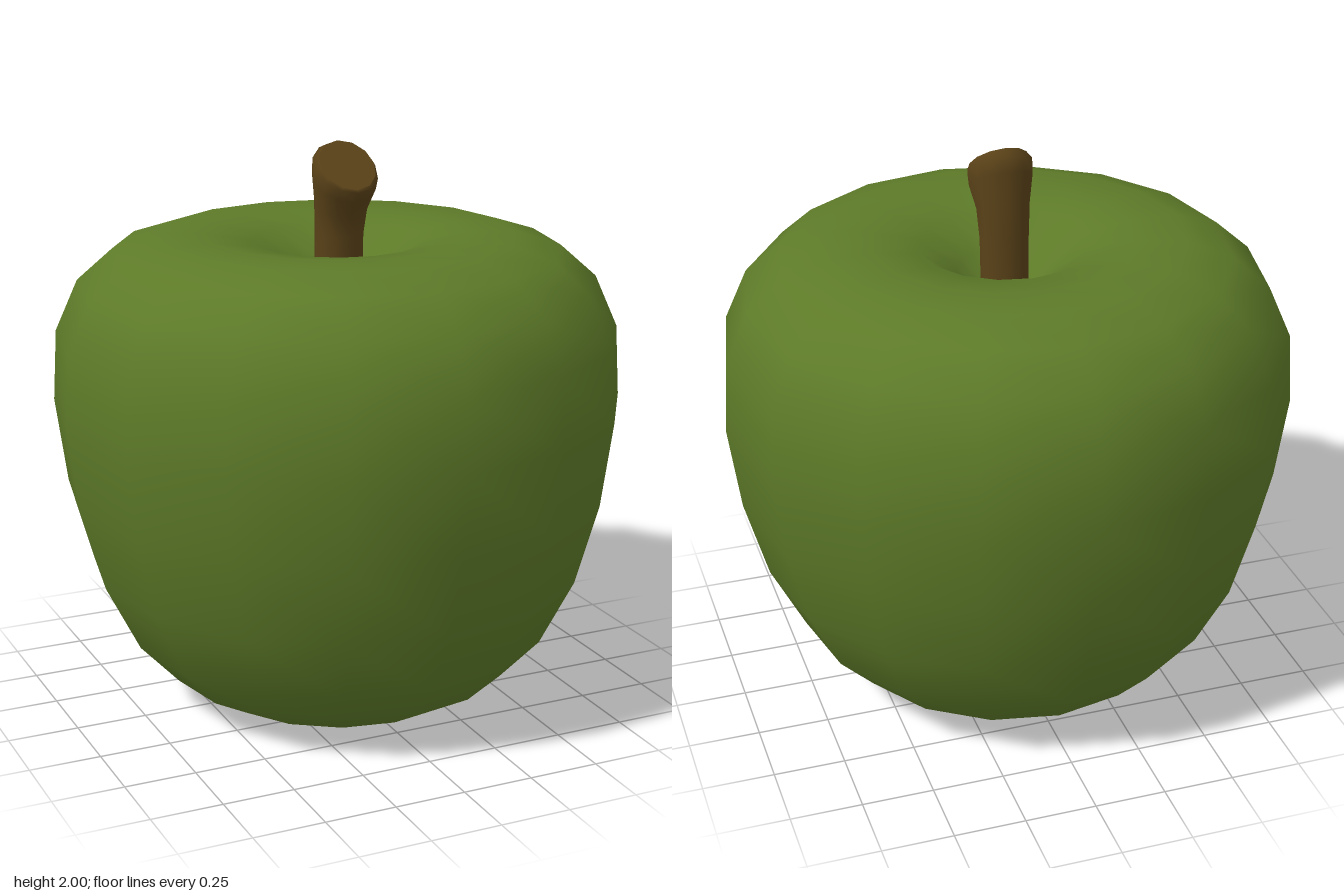
import * as THREE from 'three';

const SIDES = 12;

// One stem section: an ellipse running from its back point to its front point
function ring([backZ, backY, frontZ, frontY, halfWidth]) {
  const points = [];
  for (let j = 0; j < SIDES; j++) {
    const a = (j / SIDES) * Math.PI * 2;
    const t = (1 + Math.cos(a)) / 2;
    points.push(
      Math.sin(a) * halfWidth,
      THREE.MathUtils.lerp(backY, frontY, t),
      THREE.MathUtils.lerp(backZ, frontZ, t)
    );
  }
  return points;
}

function surface(positions, indices) {
  const geometry = new THREE.BufferGeometry();
  geometry.setAttribute('position', new THREE.Float32BufferAttribute(positions, 3));
  geometry.setIndex(indices);
  geometry.computeVertexNormals();
  return geometry;
}

export function createModel() {
  const model = new THREE.Group();
  const add = (name, geometry, material, parent = model) => {
    const mesh = new THREE.Mesh(geometry, material);
    mesh.name = name;
    parent.add(mesh);
  };
  const skin = new THREE.MeshStandardMaterial({ color: 0x5d7a28 });
  const bark = new THREE.MeshStandardMaterial({ color: 0x5a4218 });

  // Fruit: radius and height, from the lower dimple to the upper one
  const profile = [
    [0, 0.12], [0.04, 0.09], [0.1, 0.03], [0.21, 0.01], [0.34, 0], [0.48, 0.03],
    [0.62, 0.11], [0.76, 0.26], [0.88, 0.5], [0.96, 0.79], [1, 1.09], [0.985, 1.34],
    [0.905, 1.52], [0.78, 1.63], [0.625, 1.68], [0.46, 1.68], [0.3, 1.655],
    [0.17, 1.56], [0.08, 1.46], [0, 1.42],
  ].map(([r, y]) => new THREE.Vector2(r, y));
  add('fruit', new THREE.LatheGeometry(profile, 16), skin);

  // Stem: sections lean forward and flare into a slanted cut
  const stem = new THREE.Group();
  stem.name = 'stem';
  model.add(stem);
  const sections = [
    [-0.065, 1.38, 0.075, 1.38, 0.085],
    [-0.058, 1.68, 0.085, 1.68, 0.088],
    [-0.052, 1.82, 0.105, 1.75, 0.095],
    [-0.045, 1.93, 0.15, 1.81, 0.113],
    [-0.042, 1.985, 0.172, 1.845, 0.113],
    [0, 2, 0.165, 1.855, 0.1],
  ].map(ring);
  const sides = [];
  for (let i = 0; i < sections.length - 1; i++) {
    for (let j = 0; j < SIDES; j++) {
      const a = i * SIDES + j;
      const b = i * SIDES + ((j + 1) % SIDES);
      sides.push(a, b, a + SIDES, b, b + SIDES, a + SIDES);
    }
  }
  add('stemSides', surface(sections.flat(), sides), bark, stem);

  // Flat cut end, with its own vertices so the edge stays sharp
  const cut = [];
  for (let j = 1; j < SIDES - 1; j++) cut.push(0, j, j + 1);
  add('stemCut', surface(sections[sections.length - 1], cut), bark, stem);

  return model;
}
